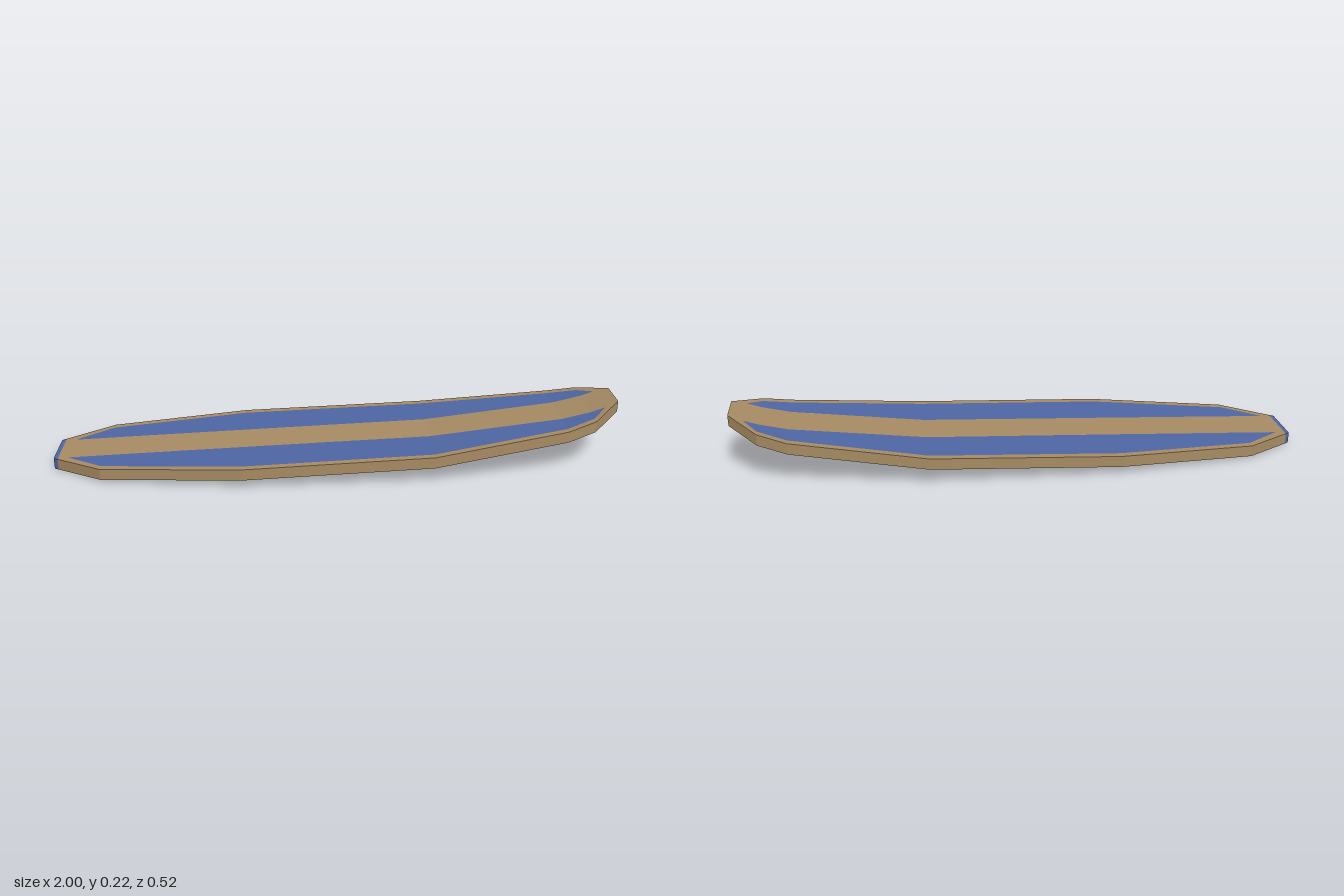
import * as THREE from 'three';

// Outline stations along the length: x, underside y, back edge z, front edge z
const STATIONS = [
  [-1, 0.001, -0.085, 0.07], [-0.82, 0.01, -0.195, 0.185], [-0.33, 0.033, -0.261, 0.257],
  [0.33, 0.063, -0.251, 0.254], [0.8, 0.122, -0.19, 0.192], [0.9, 0.146, -0.157, 0.162],
  [1, 0.181, -0.06, 0.064],
];
// Cuts add rows where colours change
const CUTS = [-1, -0.985, -0.95, -0.82, -0.33, 0.33, 0.8, 0.9, 0.95, 1];
const THICK = 0.04;
const TAIL = -0.985, PANEL = 0.95, RIM = 0.026;

// Interpolated cross-section at x
function section(x) {
  let i = 0;
  while (i < STATIONS.length - 2 && x > STATIONS[i + 1][0]) i++;
  const a = STATIONS[i], b = STATIONS[i + 1];
  const t = (x - a[0]) / (b[0] - a[0]);
  const [, y, back, front] = a.map((v, k) => v + (b[k] - v) * t);
  // stripe edges, and outer panel edges that close to a point at both ends
  const innerB = -0.08 + 0.004 * (x + 1), innerF = 0.07 + 0.005 * (x + 1);
  const closed = Math.abs(x) >= PANEL;
  const outerB = closed ? innerB : Math.min(back + RIM, innerB);
  const outerF = closed ? innerF : Math.max(front - RIM, innerF);
  const zs = [back, outerB, innerB, innerF, outerF, front];
  return { x, y, top: y + THICK, zs: zs.map((z) => Math.min(front, Math.max(back, z))) };
}

export function createModel() {
  const wood = new THREE.MeshStandardMaterial({ color: 0xa88c64 });
  wood.name = 'wood';
  const blue = new THREE.MeshStandardMaterial({ color: 0x4f67a5 });
  blue.name = 'blue';

  const board = new THREE.Group();
  board.name = 'surfboard';
  const parts = {};

  // Collects a flat quad for a named part, leaving out collapsed triangles
  function quad(name, material, a, b, c, d) {
    const part = (parts[name] ??= { material, points: [] });
    for (const tri of [[a, b, c], [a, c, d]]) {
      const [p, q, r] = tri.map((v) => new THREE.Vector3(...v));
      if (q.sub(p).cross(r.sub(p)).length() > 1e-7) part.points.push(...tri.flat());
    }
  }

  const rows = CUTS.map(section);
  for (let i = 0; i < rows.length - 1; i++) {
    const a = rows[i], b = rows[i + 1];
    const atTail = b.x <= TAIL;

    // Deck: rim, panel, centre stripe, panel, rim
    for (let k = 0; k < 5; k++) {
      const panel = k === 1 || k === 3;
      const [name, mat] = atTail ? ['tailBlock', blue] : panel ? ['deckPanels', blue] : ['deck', wood];
      quad(name, mat, [a.x, a.top, a.zs[k]], [a.x, a.top, a.zs[k + 1]],
        [b.x, b.top, b.zs[k + 1]], [b.x, b.top, b.zs[k]]);
    }

    // Underside, blue over the tail third
    const [under, underMat] = b.x <= -0.33 ? ['undersideTail', blue] : ['underside', wood];
    quad(under, underMat, [a.x, a.y, a.zs[0]], [b.x, b.y, b.zs[0]], [b.x, b.y, b.zs[5]], [a.x, a.y, a.zs[5]]);

    // Rails along both edges
    const [rail, railMat] = atTail ? ['tailBlock', blue] : ['rails', wood];
    quad(rail, railMat, [a.x, a.y, a.zs[5]], [b.x, b.y, b.zs[5]], [b.x, b.top, b.zs[5]], [a.x, a.top, a.zs[5]]);
    quad(rail, railMat, [b.x, b.y, b.zs[0]], [a.x, a.y, a.zs[0]], [a.x, a.top, a.zs[0]], [b.x, b.top, b.zs[0]]);
  }

  // End faces
  const t = rows[0], n = rows[rows.length - 1];
  quad('tailBlock', blue, [t.x, t.y, t.zs[0]], [t.x, t.y, t.zs[5]], [t.x, t.top, t.zs[5]], [t.x, t.top, t.zs[0]]);
  quad('noseEnd', wood, [n.x, n.y, n.zs[5]], [n.x, n.y, n.zs[0]], [n.x, n.top, n.zs[0]], [n.x, n.top, n.zs[5]]);

  for (const [name, { material, points }] of Object.entries(parts)) {
    const geometry = new THREE.BufferGeometry();
    geometry.setAttribute('position', new THREE.Float32BufferAttribute(points, 3));
    geometry.computeVertexNormals();
    const mesh = new THREE.Mesh(geometry, material);
    mesh.name = name;
    board.add(mesh);
  }
  return board;
}
